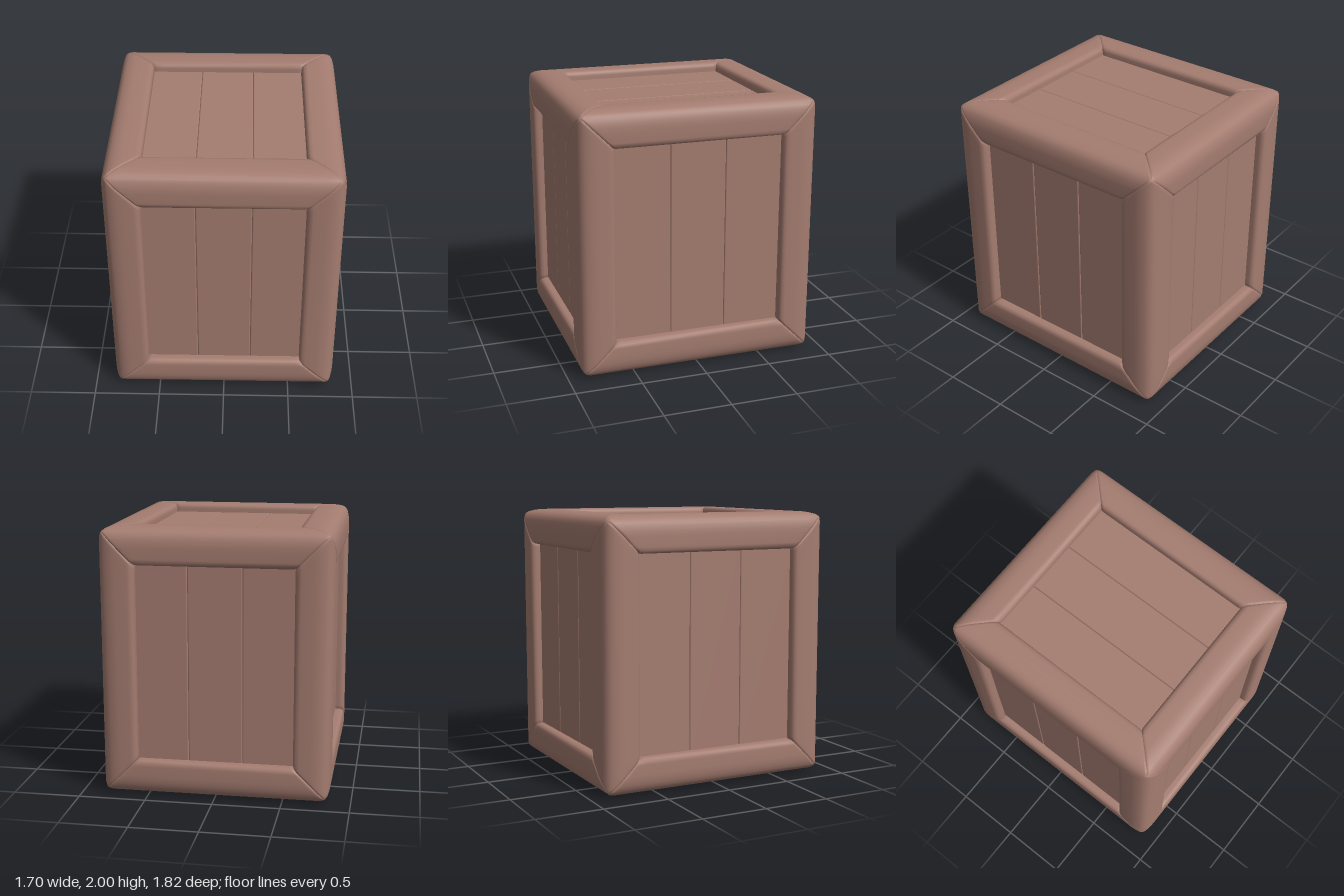
import * as THREE from 'three';
import { RoundedBoxGeometry } from 'three/addons/geometries/RoundedBoxGeometry.js';

const HALF = [0.85, 1, 0.91]; // half size of the crate along x, y, z
const DEPTH = 0.07;           // how far the planks sit below the frame

// Half of the beam's cross-section, as insets from the two outer faces
const halfProfile = [
  [0.272, 0.1], [0.272, 0.04], [0.266, 0.018], [0.25, 0.004], [0.225, 0],
  [0.15, 0], [0.115, 0.002], [0.085, 0.008], [0.055, 0.018],
];
const profile = [
  ...halfProfile, [0.034, 0.034],
  ...halfProfile.map(([a, b]) => [b, a]).reverse(),
];

// Mitred beam along axis k on the edge shared by the faces si*i and sj*j
function beamGeometry(k, si, sj) {
  const i = (k + 1) % 3, j = (k + 2) % 3;
  const positions = [], index = [];
  // Each section: distance from the mitre, shrink for the small V groove, end
  const sections = [
    [0, 0.95, -1], [0.01, 0.99, -1], [0.025, 1, -1], [0.07, 1, -1],
    [0.07, 1, 1], [0.025, 1, 1], [0.01, 0.99, 1], [0, 0.95, 1],
  ];
  for (const [gap, shrink, end] of sections) {
    for (const [pa, pb] of profile) {
      const a = 0.15 + (pa - 0.15) * shrink;
      const b = 0.15 + (pb - 0.15) * shrink;
      const p = [0, 0, 0];
      p[i] = si * (HALF[i] - a);
      p[j] = sj * (HALF[j] - b);
      p[k] = end * (HALF[k] - Math.max(a, b) - gap);
      positions.push(...p);
    }
  }
  const n = profile.length;
  for (let s = 0; s < sections.length - 1; s++) {
    for (let q = 0; q < n - 1; q++) {
      const a = s * n + q, b = a + 1, c = a + n, d = c + 1;
      if (si * sj > 0) index.push(a, c, b, b, c, d);
      else index.push(a, b, c, b, d, c);
    }
  }
  const geometry = new THREE.BufferGeometry();
  geometry.setAttribute('position', new THREE.Float32BufferAttribute(positions, 3));
  geometry.setIndex(index);
  geometry.computeVertexNormals();
  return geometry;
}

export function createModel() {
  const crate = new THREE.Group();
  crate.name = 'crate';
  const wood = new THREE.MeshStandardMaterial({ color: 0xa47c70 });
  wood.name = 'brown wood';

  // Frame of twelve rounded beams
  const frame = new THREE.Group();
  frame.name = 'frame';
  const beamNames = ['widthBeam', 'cornerPost', 'depthBeam'];
  for (let k = 0; k < 3; k++) {
    for (const si of [-1, 1]) {
      for (const sj of [-1, 1]) {
        const beam = new THREE.Mesh(beamGeometry(k, si, sj), wood);
        beam.name = beamNames[k];
        frame.add(beam);
      }
    }
  }
  crate.add(frame);

  // Three recessed planks on each face: normal, width and length axes
  const faces = [
    { names: ['right', 'left'], n: 0, w: 2, l: 1, groove: 0.21 },
    { names: ['bottom', 'top'], n: 1, w: 0, l: 2, groove: 0.2 },
    { names: ['back', 'front'], n: 2, w: 0, l: 1, groove: 0.2 },
  ];
  const thick = 0.05;
  for (const { names, n, w, l, groove } of faces) {
    const edge = HALF[w] - 0.23;
    const cuts = [-edge, -groove, groove, edge];
    names.forEach((name, side) => {
      const panel = new THREE.Group();
      panel.name = name + 'Panel';
      for (let q = 0; q < 3; q++) {
        const size = [0, 0, 0], pos = [0, 0, 0];
        size[n] = thick;
        size[w] = cuts[q + 1] - cuts[q];
        size[l] = 2 * (HALF[l] - 0.23);
        pos[n] = (side ? 1 : -1) * (HALF[n] - DEPTH - thick / 2);
        pos[w] = (cuts[q] + cuts[q + 1]) / 2;
        const plank = new THREE.Mesh(new RoundedBoxGeometry(...size, 2, 0.01), wood);
        plank.name = name + 'Plank';
        plank.position.set(...pos);
        panel.add(plank);
      }
      crate.add(panel);
    });
  }

  // Stand the crate on the ground
  crate.children.forEach((part) => { part.position.y = HALF[1]; });
  return crate;
}
